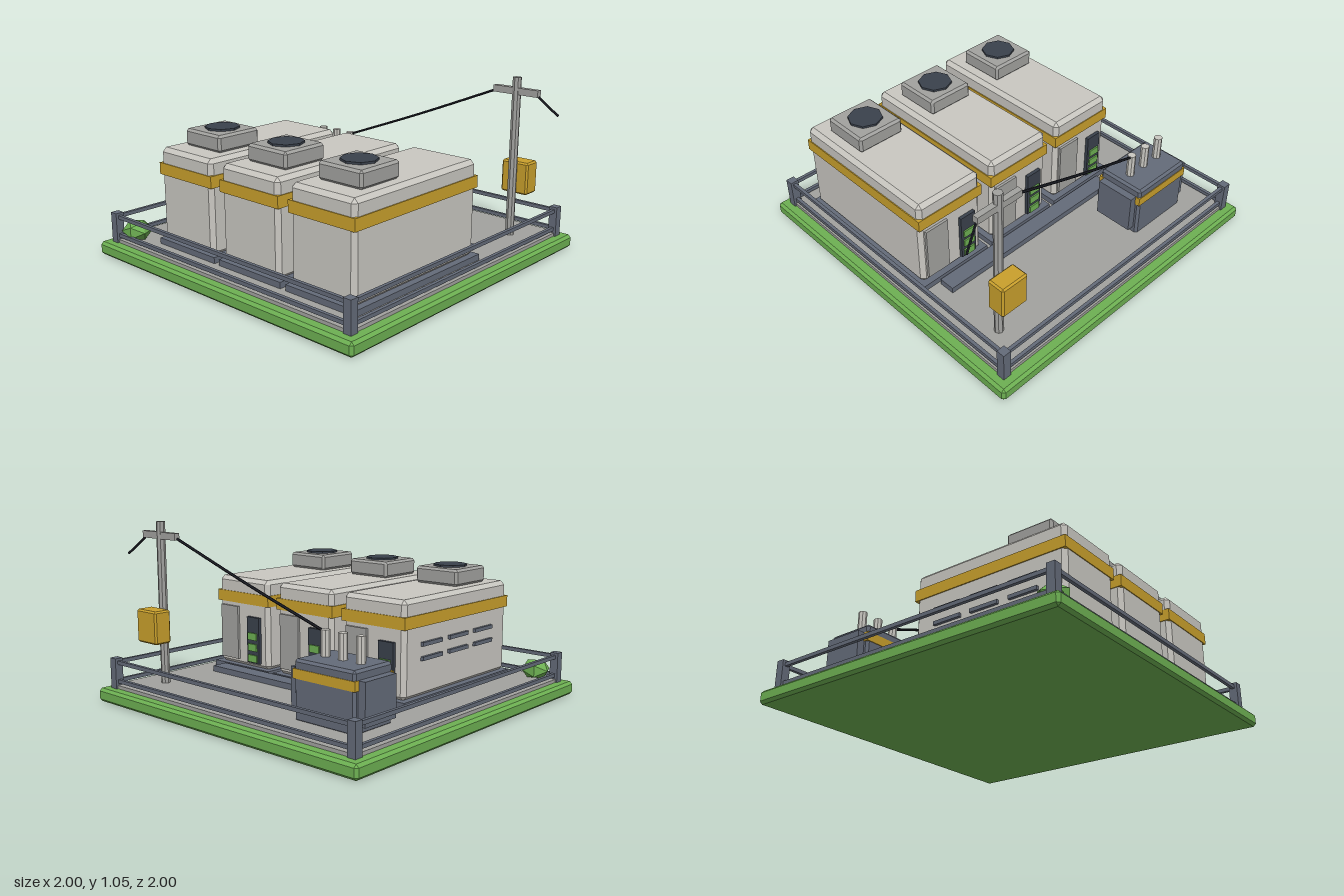
import * as THREE from 'three';
import { ConvexGeometry } from 'three/addons/geometries/ConvexGeometry.js';

const mat = (name, color) => {
  const m = new THREE.MeshStandardMaterial({ color, flatShading: true });
  m.name = name;
  return m;
};

export function createModel() {
  const green = mat('green', 0x6db052);
  const concrete = mat('concrete grey', 0xa2a29f);
  const light = mat('light grey', 0xc9c7c1);
  const yellow = mat('yellow', 0xc9a02c);
  const slate = mat('slate', 0x646b79);
  const dark = mat('dark slate', 0x3a414c);
  const black = mat('cable black', 0x1e2028);

  const model = new THREE.Group();
  model.name = 'batteryStorageSite';

  const add = (parent, name, geometry, material, x = 0, y = 0, z = 0) => {
    const mesh = new THREE.Mesh(geometry, material);
    mesh.name = name;
    mesh.position.set(x, y, z);
    parent.add(mesh);
    return mesh;
  };
  const group = (name, x = 0) => {
    const g = new THREE.Group();
    g.name = name;
    g.position.x = x;
    model.add(g);
    return g;
  };
  // Box given by its low and high corner on each axis
  const box = (parent, name, material, [x0, x1], [y0, y1], [z0, z1]) =>
    add(parent, name, new THREE.BoxGeometry(x1 - x0, y1 - y0, z1 - z0), material,
      (x0 + x1) / 2, (y0 + y1) / 2, (z0 + z1) / 2);
  // The same with chamfered edges
  const chamferBox = (parent, name, material, [x0, x1], [y0, y1], [z0, z1], c) => {
    const h = [(x1 - x0) / 2, (y1 - y0) / 2, (z1 - z0) / 2];
    const points = [];
    for (const sx of [-1, 1]) for (const sy of [-1, 1]) for (const sz of [-1, 1])
      for (let axis = 0; axis < 3; axis++) {
        const p = h.map((v, i) => (i === axis ? v : v - c));
        points.push(new THREE.Vector3(sx * p[0], sy * p[1], sz * p[2]));
      }
    return add(parent, name, new ConvexGeometry(points), material,
      (x0 + x1) / 2, (y0 + y1) / 2, (z0 + z1) / 2);
  };
  const cable = (name, points, r) => {
    const curve = new THREE.CatmullRomCurve3(points.map(p => new THREE.Vector3(...p)));
    add(model, name, new THREE.TubeGeometry(curve, 8, r, 6), black);
  };

  // Ground
  chamferBox(model, 'grassBase', green, [-1, 1], [0, 0.08], [-1, 1], 0.016);
  box(model, 'concretePad', concrete, [-0.935, 0.935], [0.07, 0.1], [-0.935, 0.935]);

  // Fence
  const fence = group('fence');
  for (const s of [-1, 1]) {
    for (const t of [-1, 1])
      add(fence, 'fencePost', new THREE.BoxGeometry(0.05, 0.18, 0.05), slate, s * 0.92, 0.17, t * 0.92);
    for (const y of [0.123, 0.235]) {
      add(fence, 'fenceRail', new THREE.BoxGeometry(1.84, 0.022, 0.02), slate, 0, y, s * 0.92);
      add(fence, 'fenceRail', new THREE.BoxGeometry(0.02, 0.022, 1.84), slate, s * 0.92, y, 0);
    }
  }

  // Battery containers
  for (const cx of [-0.42, 0.098, 0.616]) {
    const c = group('batteryContainer', cx);
    box(c, 'plinth', slate, [-0.24, 0.24], [0.095, 0.135], [-0.22, 0.81]);
    chamferBox(c, 'body', light, [-0.217, 0.217], [0.13, 0.68], [-0.195, 0.795], 0.024);
    box(c, 'yellowBand', yellow, [-0.223, 0.223], [0.522, 0.59], [-0.2, 0.8]);

    // Roof cooler
    chamferBox(c, 'roofCooler', concrete, [-0.147, 0.147], [0.68, 0.778], [0.372, 0.668], 0.014);
    add(c, 'fan', new THREE.CylinderGeometry(0.1, 0.1, 0.016, 8), dark, 0, 0.782, 0.517);

    // Side louvres
    for (const z of [0.04, 0.29, 0.54])
      for (const y of [0.345, 0.425])
        box(c, 'louvre', slate, [-0.234, -0.21], [y - 0.011, y + 0.011], [z - 0.09, z + 0.09]);

    // Back door and status panel
    box(c, 'door', concrete, [0.035, 0.185], [0.17, 0.5], [-0.21, -0.19]);
    box(c, 'statusPanel', dark, [-0.157, -0.053], [0.165, 0.45], [-0.216, -0.19]);
    for (const y of [0.195, 0.264, 0.332])
      box(c, 'statusLight', green, [-0.142, -0.068], [y - 0.022, y + 0.022], [-0.225, -0.215]);
  }

  // Cable duct
  const duct = group('cableDuct');
  box(duct, 'ductRun', slate, [-0.55, 0.745], [0.095, 0.135], [-0.335, -0.237]);
  box(duct, 'ductBranch', slate, [-0.55, -0.455], [0.095, 0.135], [-0.45, -0.335]);

  // Transformer
  const t = group('transformer', -0.549);
  chamferBox(t, 'tank', slate, [-0.205, 0.205], [0.09, 0.42], [-0.73, -0.437], 0.014);
  box(t, 'tankBand', yellow, [-0.209, 0.209], [0.318, 0.37], [-0.734, -0.432]);
  for (const s of [-1, 1]) {
    const side = [s * 0.2, s * 0.25].sort((a, b) => a - b);
    box(t, 'radiator', slate, side, [0.14, 0.37], [-0.704, -0.464]);
  }
  for (const x of [-0.12, 0, 0.12])
    add(t, 'bushing', new THREE.CylinderGeometry(0.025, 0.025, 0.145, 8), light, x, 0.488, -0.583);

  // Utility pole
  const pole = group('utilityPole', 0.746);
  add(pole, 'mast', new THREE.CylinderGeometry(0.026, 0.026, 0.95, 8), concrete, 0, 0.575, -0.702);
  box(pole, 'crossarm', concrete, [-0.147, 0.147], [0.95, 0.99], [-0.72, -0.686]);
  chamferBox(pole, 'meterBox', yellow, [-0.085, 0.09], [0.353, 0.547], [-0.827, -0.717], 0.01);

  // Overhead cables
  cable('transformerCable', [[-0.43, 0.545, -0.583], [0.085, 0.745, -0.642], [0.61, 0.962, -0.7]], 0.008);
  cable('outgoingCable', [[0.875, 0.965, -0.7], [0.94, 0.9, -0.727], [0.995, 0.85, -0.752]], 0.007);

  // Bush
  const bush = add(model, 'bush', new THREE.IcosahedronGeometry(0.09, 0), green, -0.825, 0.155, 0.85);
  bush.scale.y = 0.72;
  bush.rotation.y = 0.4;

  return model;
}
